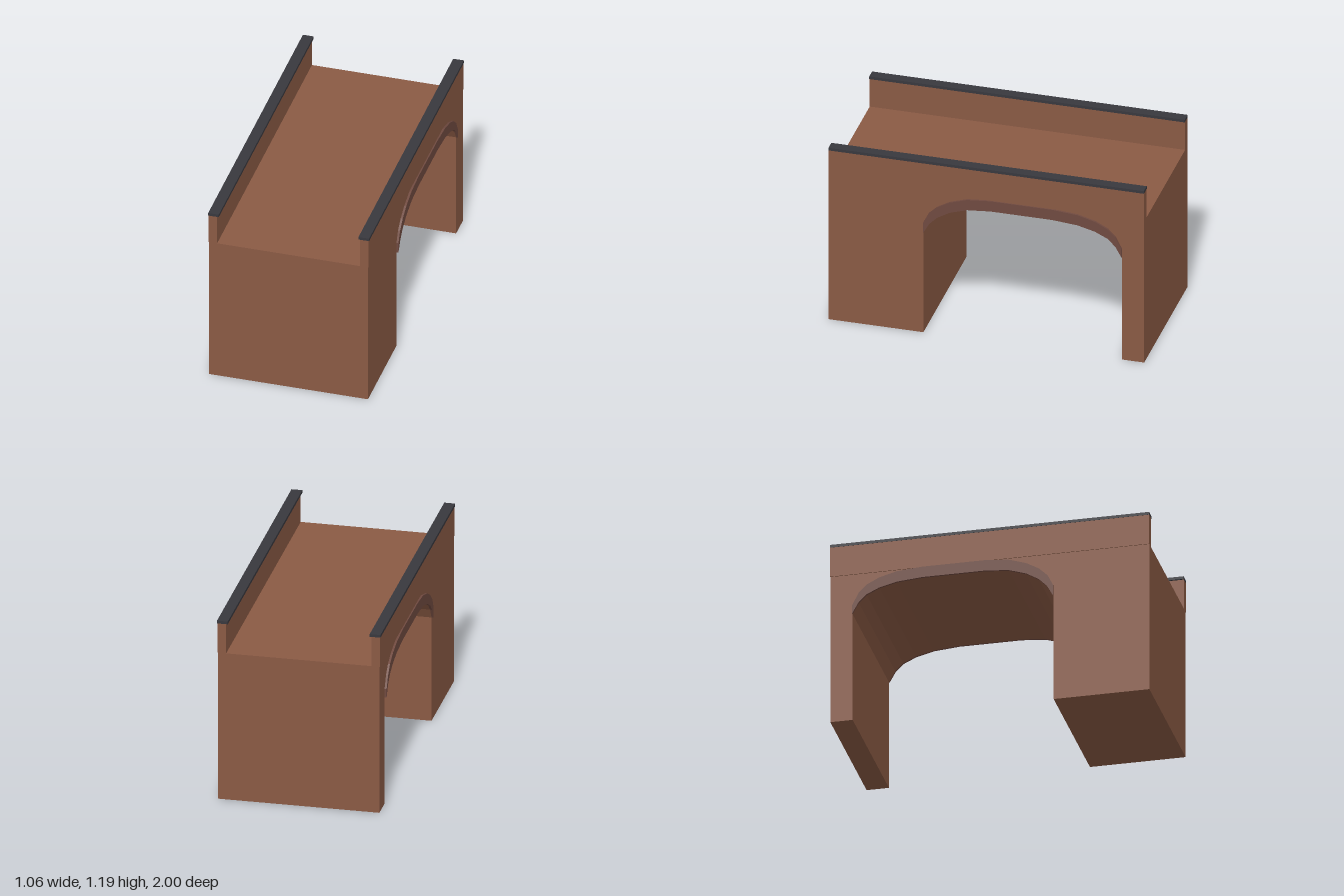
import * as THREE from 'three';

// Skewed road bridge: side profiles are extruded across x, then sheared along z.
const SKEW = -0.0185, OFFSET = -0.004;

const brick = new THREE.MeshStandardMaterial({ color: 0x8a5a44 });
brick.name = 'brick';
const archStone = new THREE.MeshStandardMaterial({ color: 0x704a40 });
archStone.name = 'archStone';
const copingStone = new THREE.MeshStandardMaterial({ color: 0x38383e });
copingStone.name = 'copingStone';

// Arch curves as [z, y], front springing to back springing
const inner = [[0.4, 0.69], [0.36, 0.76], [0.31, 0.81], [0.23, 0.857], [0.12, 0.892], [-0.03, 0.905],
  [-0.42, 0.905], [-0.58, 0.892], [-0.69, 0.865], [-0.77, 0.828], [-0.82, 0.78], [-0.86, 0.71]];
const outer = [[0.4, 0.76], [0.365, 0.83], [0.31, 0.882], [0.23, 0.927], [0.12, 0.962], [-0.03, 0.975],
  [-0.42, 0.975], [-0.58, 0.962], [-0.69, 0.933], [-0.77, 0.893], [-0.82, 0.843], [-0.86, 0.765]];

// Extrude a z-y outline from x0 to x1 and skew it
function slab(name, outline, x0, x1, material) {
  const shape = new THREE.Shape(outline.map(([z, y]) => new THREE.Vector2(-z, y)));
  const geo = new THREE.ExtrudeGeometry(shape, { depth: x1 - x0, bevelEnabled: false });
  geo.rotateY(Math.PI / 2).translate(x0, 0, 0);
  const p = geo.attributes.position;
  for (let i = 0; i < p.count; i++) p.setX(i, p.getX(i) + OFFSET + SKEW * p.getZ(i));
  geo.computeVertexNormals();
  const mesh = new THREE.Mesh(geo, material);
  mesh.name = name;
  return mesh;
}

const bar = (y0, y1) => [[1, y0], [1, y1], [-1, y1], [-1, y0]];

export function createModel() {
  const bridge = new THREE.Group();
  bridge.name = 'bridge';

  // Deck and both piers in one body with the arched opening
  const body = [[1, 0], [0.4, 0], ...inner, [-0.86, 0], [-1, 0], [-1, 0.975], [1, 0.975]];
  bridge.add(slab('deckAndPiers', body, -0.502, 0.502, brick));

  // Parapet, coping and projecting arch ring on each side
  const ring = [...inner, ...[...outer].reverse()];
  for (const [side, s] of [['left', 1], ['right', -1]]) {
    const add = (part, outline, a, b, mat) =>
      bridge.add(slab(side + part, outline, Math.min(s * a, s * b), Math.max(s * a, s * b), mat));
    add('Parapet', bar(0.975, 1.17), 0.452, 0.507, brick);
    add('Coping', bar(1.17, 1.188), 0.442, 0.509, copingStone);
    add('ArchRing', ring, 0.502, 0.515, archStone);
  }
  return bridge;
}
